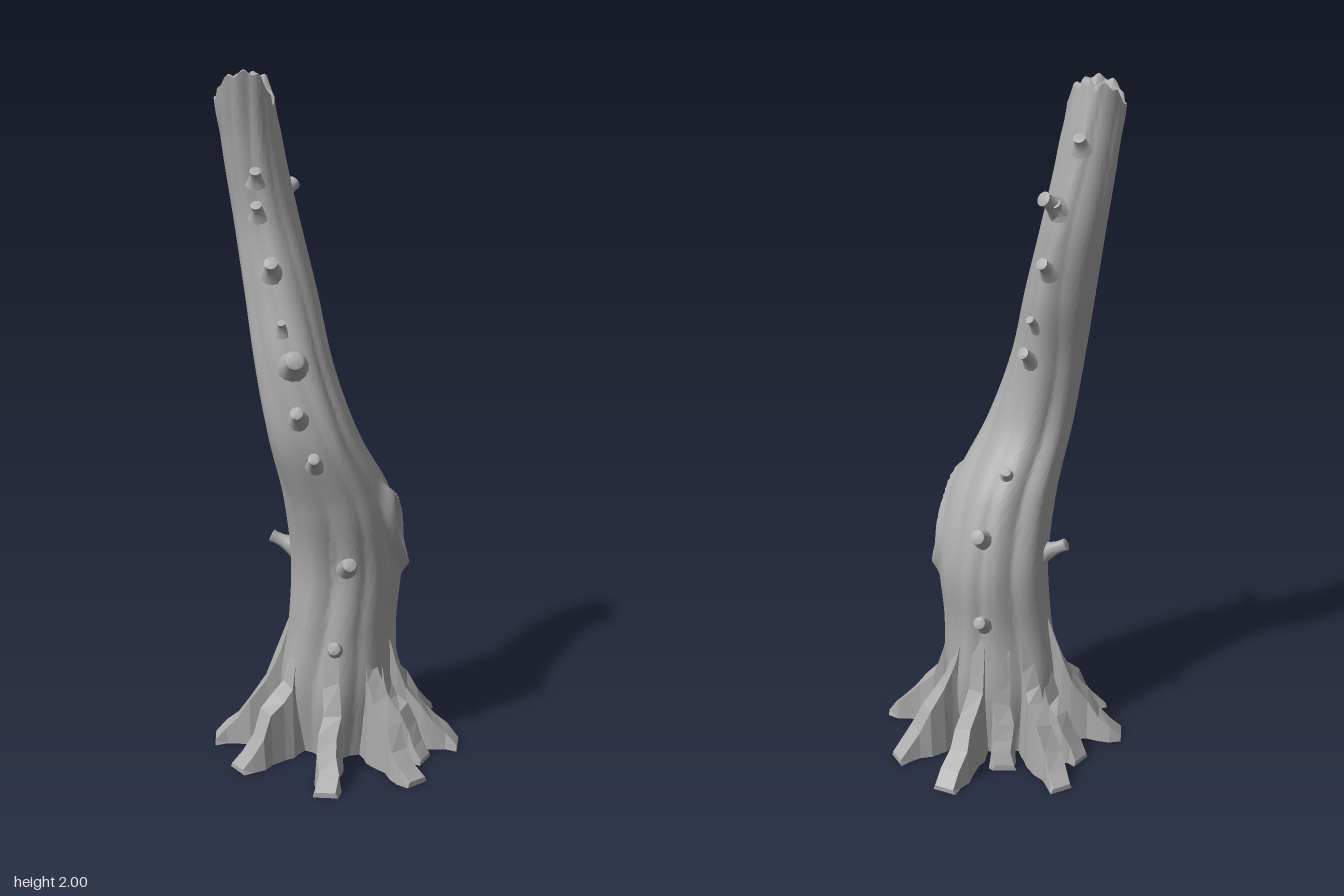
import * as THREE from 'three';
import { toCreasedNormals } from 'three/addons/utils/BufferGeometryUtils.js';

const bark = new THREE.MeshStandardMaterial({ color: 0xaaaaaa });
bark.name = 'bark grey';

// Skins a series of closed rings and caps both ends.
function loft(rings) {
  const n = rings[0].length, pos = [], index = [];
  rings.forEach(ring => ring.forEach(p => pos.push(p.x, p.y, p.z)));
  for (let i = 0; i < rings.length - 1; i++) {
    for (let j = 0; j < n; j++) {
      const k = (j + 1) % n, a = i * n + j, b = i * n + k;
      index.push(a, a + n, b, b, a + n, b + n);
    }
  }
  [0, rings.length - 1].forEach((r, end) => {
    const c = new THREE.Vector3();
    rings[r].forEach(p => c.addScaledVector(p, 1 / n));
    const ci = pos.length / 3;
    pos.push(c.x, c.y, c.z);
    for (let j = 0; j < n; j++) {
      const a = r * n + j, b = r * n + (j + 1) % n;
      if (end) index.push(ci, b, a); else index.push(ci, a, b);
    }
  });
  const g = new THREE.BufferGeometry();
  g.setAttribute('position', new THREE.Float32BufferAttribute(pos, 3));
  g.setIndex(index);
  g.computeVertexNormals();
  return g;
}

// Trunk spine every 0.2 of height: centre x, centre z, radius.
const spine = new THREE.CatmullRomCurve3([
  [0, 0, 0.135], [0, 0, 0.168], [0.012, 0.002, 0.16], [0.025, 0.003, 0.163], [0.005, 0.055, 0.157],
  [-0.06, 0.13, 0.128], [-0.112, 0.13, 0.108], [-0.152, 0.088, 0.1], [-0.192, 0.057, 0.09],
  [-0.225, 0.07, 0.083], [-0.242, 0.1, 0.08],
].map(p => new THREE.Vector3(...p)), false, 'catmullrom');
const spineAt = y => spine.getPoint(THREE.MathUtils.clamp(y / 2, 0, 1));

// Bark ridges that wander up the trunk, plus the lipped hollow on the left side.
function barkOffset(a, y, r) {
  const w = a + 0.25 * Math.sin(y * 3.1) + 0.12 * Math.sin(2 * a + y * 5);
  const ridge = Math.abs(Math.sin(w * 4.5 + 0.5 * Math.sin(w))) - 0.6;
  const ridge2 = Math.sin(w * 5 + y * 2.2);
  let d = r * (0.085 * ridge + 0.035 * ridge2) * THREE.MathUtils.lerp(1, 0.5, y / 2);
  const s = Math.atan2(Math.sin(a), Math.cos(a)) * r - 0.01 + (y - 0.7) * -0.2;
  const e = Math.abs(s) / 0.042 + ((y - 0.7) / 0.115) ** 2;
  if (Math.abs(s) < 0.2) {
    d += 0.022 * Math.exp(-(((e - 1.35) / 0.45) ** 2));
    d -= 0.085 * THREE.MathUtils.smoothstep(1.1 - e, 0, 0.9);
  }
  return d;
}

function trunkGeometry() {
  const sides = 128, rows = 130, rings = [];
  const ring = (row, scale, drop) => Array.from({ length: sides }, (_, j) => {
    const a = j / sides * Math.PI * 2, y = row / rows * 2, c = spineAt(y);
    const r = (c.z + barkOffset(a, y, c.z)) * scale;
    // The broken top dips on both sides, with small teeth along the rim.
    const fade = THREE.MathUtils.smoothstep(y, 1.8, 2);
    const jag = 0.07 * Math.abs(Math.cos(a)) ** 4 + 0.012 * (1 + Math.sin(a * 7 + 1) * Math.cos(a * 4));
    return new THREE.Vector3(c.x + r * Math.cos(a), y - fade * jag - drop, c.y + r * Math.sin(a));
  });
  for (let i = 0; i <= rows; i++) rings.push(ring(i, 1, 0));
  rings.push(ring(rows, 0.94, -0.003), ring(rows, 0.8, 0.004), ring(rows, 0.72, 0.03), ring(rows, 0.55, 0.06));
  return toCreasedNormals(loft(rings), 0.9);
}

// Plank-like root running from the core to its tip (x, z); u is the share of the reach.
function rootGeometry(x, z, k) {
  const reach = Math.hypot(x, z), c = x / reach, s = z / reach;
  const profile = [ // distance, height, half width
    [0.03, 0.5, 0.012], [0.135, 0.46, 0.016], [0.165, 0.33, 0.024], [0.185, 0.25, 0.03],
    [0.215, 0.19, 0.033], [0.265, 0.145, 0.033], [0.3, 0.09, 0.035], [0.335, 0.05, 0.036], [0.37, 0.015, 0.036],
  ];
  const rings = profile.map(([d, h, w], i) => {
    const far = Math.max(0, d - 0.15) / 0.22;
    const dist = Math.min(d, 0.15) + far * (reach - 0.15);
    const side = 0.007 * Math.sin(i * 1.9 + k * 2) * Math.min(1, far * 3);
    const height = h * (1 + 0.1 * Math.sin(k * 2.3 + i * 1.3));
    const tilt = 0.012 * Math.sin(k * 1.7 + i) * Math.min(1, h * 4);
    const at = (v, y) => new THREE.Vector3(c * dist - s * (v + side), y, s * dist + c * (v + side));
    return [at(w, 0), at(w * 0.8, height + tilt), at(-w * 0.8, height - tilt), at(-w, 0)];
  });
  const g = loft(rings).toNonIndexed();
  g.computeVertexNormals();
  return g;
}

// Broken twig with a flared foot, ending at the given tip.
function twig(x, y, z, size) {
  const tip = new THREE.Vector3(x, y, z);
  const c = spineAt(y - 0.03);
  const out = new THREE.Vector3(x - c.x, 0, z - c.y);
  const gap = out.length() - c.z;
  out.normalize();
  const foot = new THREE.Vector3(c.x, y - 0.035, c.y).addScaledVector(out, c.z * 0.88);
  const dir = tip.clone().sub(foot), len = dir.length();
  const r = 0.016 * size;
  const profile = [[r * 2.1, 0], [r * 1.45, len * 0.3], [r * 1.05, len * 0.6], [r, len * 0.85],
    [r * 1.1, len * 0.97], [r * 0.85, len], [0, len * (gap > 0 ? 0.97 : 1)]];
  const g = new THREE.LatheGeometry(profile.map(p => new THREE.Vector2(...p)), 14);
  const mesh = new THREE.Mesh(toCreasedNormals(g, 0.8), bark);
  mesh.position.copy(foot);
  mesh.quaternion.setFromUnitVectors(new THREE.Vector3(0, 1, 0), dir.normalize());
  mesh.name = 'twigStub';
  return mesh;
}

export function createModel() {
  const model = new THREE.Group();
  model.name = 'deadTree';

  const trunk = new THREE.Mesh(trunkGeometry(), bark);
  trunk.name = 'trunk';
  model.add(trunk);

  // Roots, by tip position
  const roots = new THREE.Group();
  roots.name = 'roots';
  [[0.09, -0.372], [0.28, -0.235], [0.372, 0.04], [0.275, 0.135], [0.245, 0.285], [-0.01, 0.37],
    [-0.275, 0.235], [-0.37, 0.04], [-0.27, -0.13], [-0.245, -0.29], [-0.05, -0.225]].forEach(([x, z], k) => {
    const root = new THREE.Mesh(rootGeometry(x, z, k), bark);
    root.name = 'root';
    roots.add(root);
  });
  model.add(roots);

  // Twig stubs: tip x, y, z and thickness
  const twigs = new THREE.Group();
  twigs.name = 'twigStubs';
  [
    [-0.208, 1.74, 0.165, 0.9], [-0.207, 1.65, 0.165, 0.9], [-0.165, 1.5, 0.205, 1.1], [-0.137, 1.34, 0.22, 0.7],
    [-0.092, 1.255, 0.31, 1.4], [-0.09, 1.11, 0.305, 1], [-0.045, 0.98, 0.295, 0.9], [0.05, 0.65, 0.225, 1.1],
    [0.005, 0.39, 0.22, 1],
    [-0.215, 1.85, -0.03, 1], [-0.125, 1.69, -0.065, 1.2], [-0.155, 1.675, -0.045, 0.9], [-0.12, 1.51, -0.055, 1],
    [-0.08, 1.34, -0.015, 0.7], [-0.06, 1.24, -0.012, 1], [-0.028, 0.905, -0.085, 0.9], [0.035, 0.735, -0.185, 1.2],
    [0.025, 0.475, -0.21, 1], [-0.195, 0.655, 0, 1.1],
  ].forEach(t => twigs.add(twig(...t)));
  model.add(twigs);

  return model;
}
